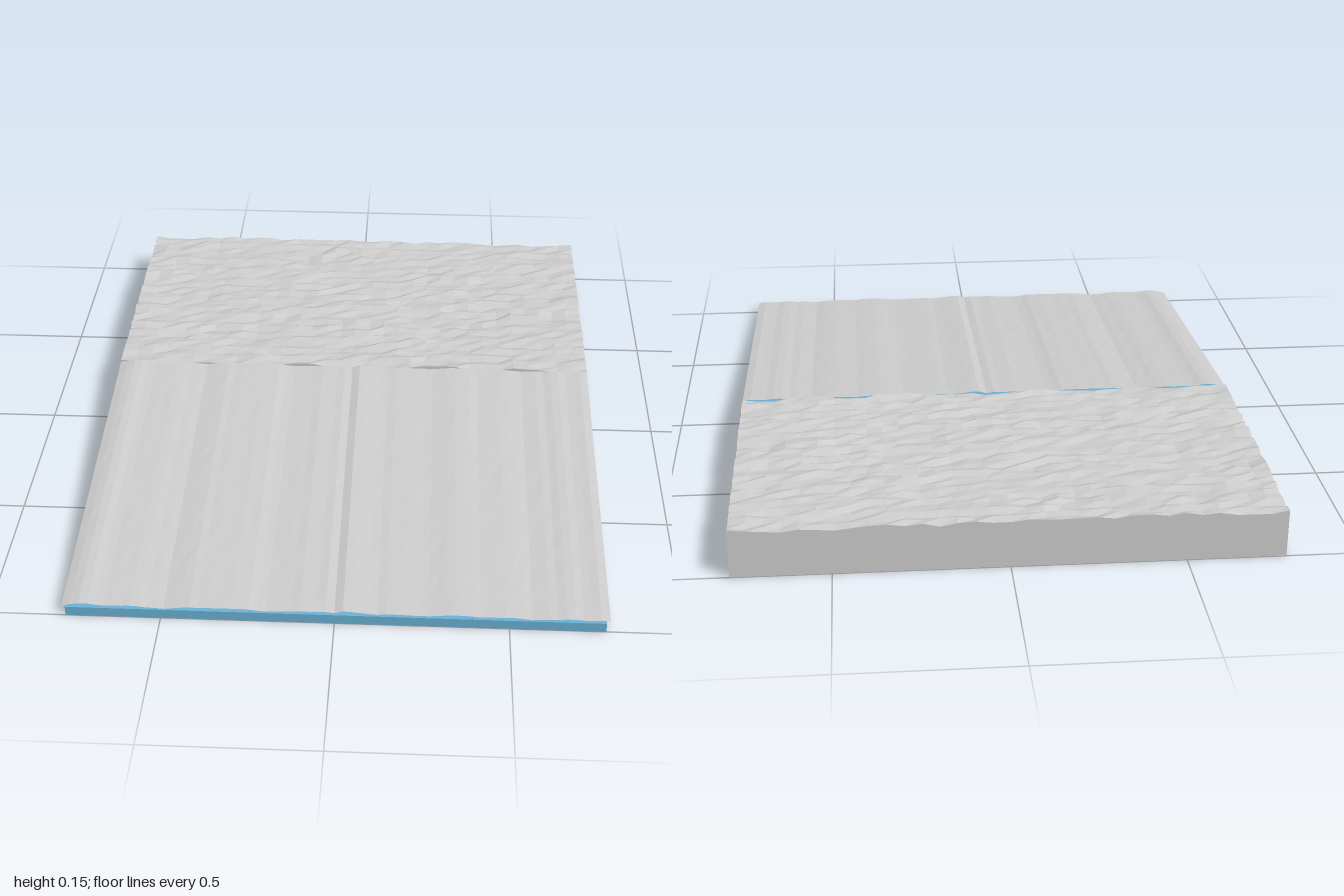
import * as THREE from 'three';

const HALF = 0.785;   // half width of the slab
const SEAM = -0.13;   // z where the rough bed meets the ramp

// Repeatable pseudo-random value in -1..1 for a grid cell
function hash(i, j) {
  const s = Math.sin(i * 127.1 + j * 311.7 + 4.3) * 43758.5453;
  return (s - Math.floor(s)) * 2 - 1;
}

// Noise drawn out along x, so neighbouring columns form ragged streaks
function streak(i, j) {
  return 0.5 * hash(i, j) + 0.5 * hash(Math.floor(i / 3 + hash(j, 9)), j + 50);
}

// Move each vertex's y by a rule, then refresh the normals
function shapeY(geometry, rule) {
  const p = geometry.attributes.position;
  for (let i = 0; i < p.count; i++) p.setY(i, rule(p.getX(i), p.getY(i), p.getZ(i)));
  geometry.computeVertexNormals();
  return geometry;
}

function part(name, geometry, color, side = THREE.FrontSide) {
  const mesh = new THREE.Mesh(geometry,
    new THREE.MeshStandardMaterial({ color, side, flatShading: true }));
  mesh.name = name;
  return mesh;
}

export function createModel() {
  const group = new THREE.Group();
  group.name = 'rampAndRoughBed';

  // Rough bed: a box whose top is broken into ragged ridges
  const nx = 32, nz = 36, depth = 1 + SEAM;
  const bed = new THREE.BoxGeometry(HALF * 2, 0.144, depth, nx, 1, nz);
  bed.translate(0, 0.072, (SEAM - 1) / 2);
  shapeY(bed, (x, y, z) => {
    if (y < 0.01) return 0;
    const i = Math.round((x + HALF) / (HALF * 2) * nx);
    const j = Math.round((z + 1) / depth * nz);
    return 0.144 + 0.011 * streak(i, j);
  });
  group.add(part('roughBed', bed, 0xcccccc));

  // Wedge under the ramp
  const profile = new THREE.Shape();
  profile.moveTo(-1, 0);
  profile.lineTo(0.125, 0);
  profile.lineTo(0.125, 0.12);
  profile.lineTo(-1, 0.03);
  profile.closePath();
  const wedge = new THREE.ExtrudeGeometry(profile, { depth: 1.55, bevelEnabled: false });
  wedge.translate(0, 0, -0.775);
  wedge.rotateY(Math.PI / 2);
  group.add(part('rampWedge', wedge, 0x6ab0d3));

  // Ramp sheet: slightly rippled across, with a small step along the middle
  const rampLength = 1 - SEAM;
  const sheet = new THREE.PlaneGeometry(HALF * 2, rampLength, 64, 24);
  sheet.rotateX(-Math.PI / 2);
  sheet.translate(0, 0, (1 + SEAM) / 2);
  shapeY(sheet, (x, y, z) => {
    const t = (1 - z) / rampLength;
    const i = Math.round((x + HALF) / (HALF * 2) * 64);
    const j = Math.round(t * 24);
    const ripple = 0.003 * Math.sin(x * 17 + 1) + 0.002 * Math.sin(x * 41)
      + 0.0015 * hash(i, 7) + 0.0005 * hash(i, j);
    const step = Math.abs(x) < 0.012 ? -0.004 : 0;
    const edge = Math.abs(x) > HALF - 0.01 ? -0.006 : 0;
    return THREE.MathUtils.lerp(0.04, 0.143, t) + ripple + step + edge;
  });
  group.add(part('rampSheet', sheet, 0xcccccc, THREE.DoubleSide));

  return group;
}
